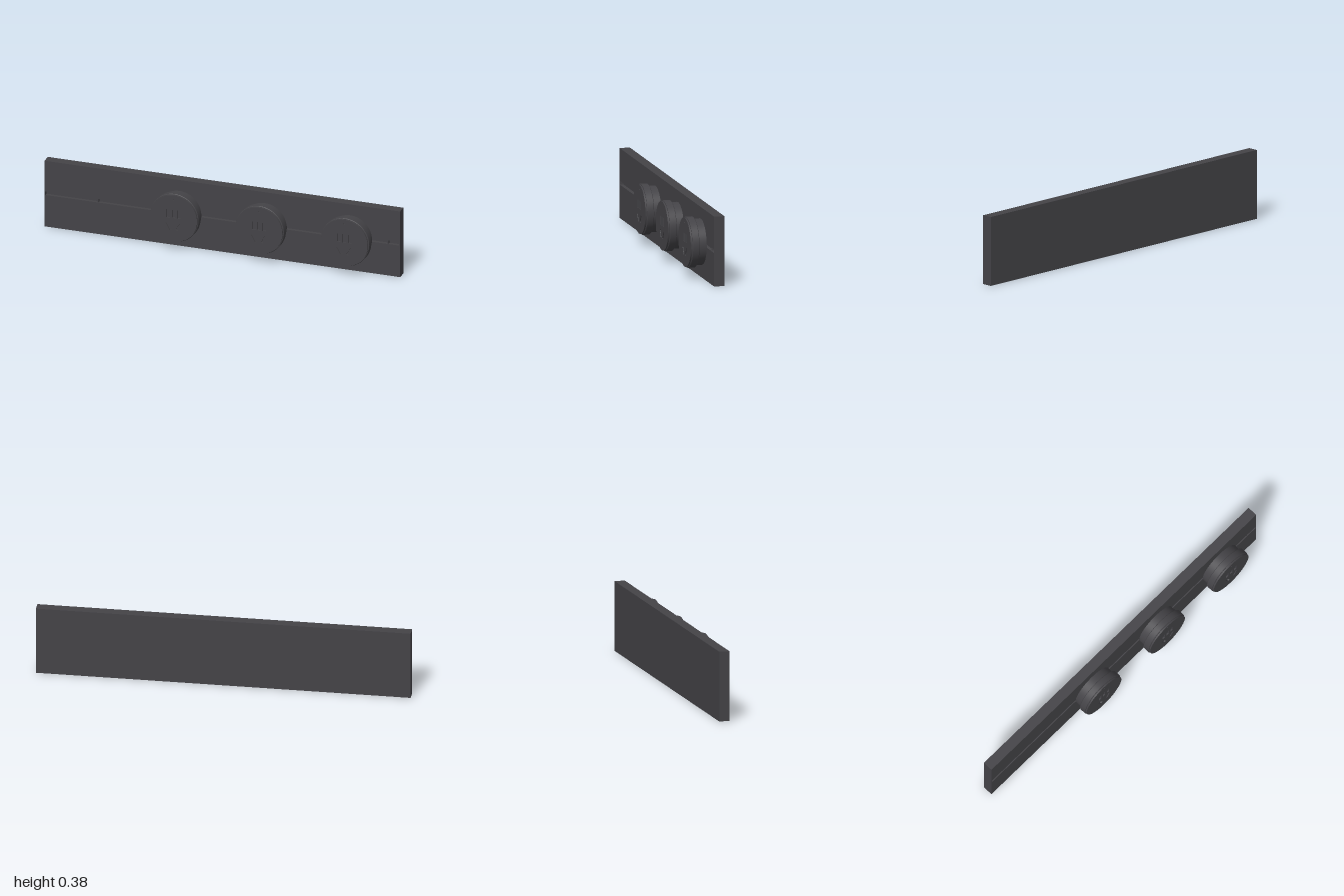
import * as THREE from 'three';
import { toCreasedNormals } from 'three/addons/utils/BufferGeometryUtils.js';

const W = 2, H = 0.375, MID = 0.19;
const BACK = -0.072, FRONT = -0.016, FLOOR = -0.036;

// Closed rectangle path, centred on (cx, cy) and turned by angle
function rectPath(path, cx, cy, w, h, angle = 0) {
  const c = Math.cos(angle), s = Math.sin(angle);
  const corners = [[-1, -1], [1, -1], [1, 1], [-1, 1]].map(([a, b]) => {
    const x = a * w / 2, y = b * h / 2;
    return new THREE.Vector2(cx + x * c - y * s, cy + x * s + y * c);
  });
  path.setFromPoints(corners);
  path.closePath();
  return path;
}

export function createModel() {
  const model = new THREE.Group();
  model.name = 'powerTrack';
  const charcoal = new THREE.MeshStandardMaterial({ color: 0x444347 });
  charcoal.name = 'charcoal';

  const add = (parent, name, geometry, x = 0, y = 0, z = 0) => {
    const mesh = new THREE.Mesh(geometry, charcoal);
    mesh.name = name;
    mesh.position.set(x, y, z);
    parent.add(mesh);
    return mesh;
  };

  // Rail: solid back with a slotted front, closed at both ends
  add(model, 'railBack', new THREE.BoxGeometry(W, H, FLOOR - BACK), 0, H / 2, (FLOOR + BACK) / 2);
  const front = rectPath(new THREE.Shape(), 0, H / 2, W, H);
  front.holes.push(rectPath(new THREE.Path(), 0, MID, W - 0.008, 0.021));
  add(model, 'railFront',
    new THREE.ExtrudeGeometry(front, { depth: FRONT - FLOOR, bevelEnabled: false }), 0, 0, FLOOR);

  // Small stops inside the slot
  for (const x of [-0.7, 0.93]) {
    add(model, 'slotStop', new THREE.BoxGeometry(0.006, 0.021, 0.016), x, MID, FLOOR + 0.008);
  }

  // Socket body: narrow base, wide ring, shallow neck under the face
  const profile = [
    [0.123, -0.018], [0.123, 0.025], [0.133, 0.025], [0.1355, 0.028],
    [0.1355, 0.060], [0.133, 0.063], [0.127, 0.063], [0.127, 0.065], [0, 0.065],
  ].map(([r, z]) => new THREE.Vector2(r, z));
  const body = toCreasedNormals(new THREE.LatheGeometry(profile, 64).rotateX(Math.PI / 2), 0.6);

  // Socket face with charging slots, plug slots and an indicator hole
  const disc = new THREE.Shape().absarc(0, 0, 0.131, 0, Math.PI * 2, false);
  for (const x of [-0.03, 0, 0.03]) {
    disc.holes.push(rectPath(new THREE.Path(), x, 0.025, 0.018, 0.046));
  }
  for (const side of [-1, 1]) {
    disc.holes.push(rectPath(new THREE.Path(), side * 0.028, -0.047, 0.013, 0.046, -side * 0.52));
  }
  disc.holes.push(new THREE.Path().absarc(0, 0.108, 0.004, 0, Math.PI * 2, true));
  const face = toCreasedNormals(
    new THREE.ExtrudeGeometry(disc, { depth: 0.008, bevelEnabled: false, curveSegments: 48 }), 0.6);

  for (const x of [-0.24, 0.24, 0.72]) {
    const socket = new THREE.Group();
    socket.name = 'socket';
    socket.position.set(x, MID, 0);
    add(socket, 'socketBody', body);
    add(socket, 'socketFace', face, 0, 0, 0.0645);
    model.add(socket);
  }
  return model;
}
